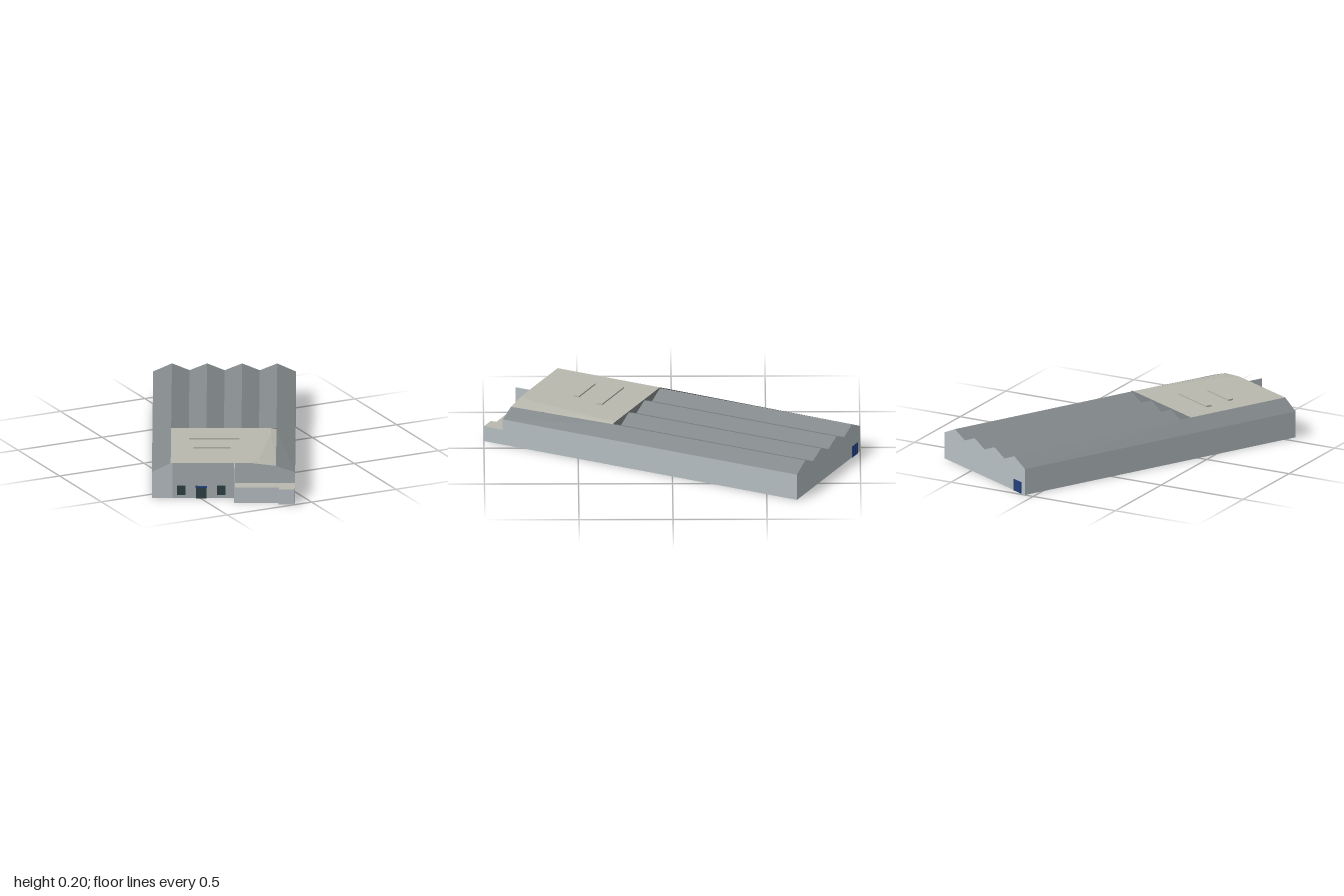
import * as THREE from 'three';

const mat = (color) => new THREE.MeshStandardMaterial({ color, side: THREE.DoubleSide, flatShading: true });

export function createModel() {
  const wall = mat(0xb8c0c4), facade = mat(0xa6adb0), roof = mat(0x82888a);
  const deck = mat(0xb8b8ae), glass = mat(0x2c4044), blue = mat(0x23407a);

  const W = 0.38, BACK = -0.872, MID = 0.266, FRONT = 0.872;
  const EAVE = 0.145, RIDGE = 0.19, TOP = 0.196, VALLEY = 0.152;

  const hall = new THREE.Group();
  hall.name = 'hall';

  function add(name, geometry, material, x = 0, y = 0, z = 0) {
    const mesh = new THREE.Mesh(geometry, material);
    mesh.name = name;
    mesh.position.set(x, y, z);
    hall.add(mesh);
    return mesh;
  }

  function box(name, material, x0, x1, y0, y1, z0, z1) {
    add(name, new THREE.BoxGeometry(x1 - x0, y1 - y0, z1 - z0), material,
      (x0 + x1) / 2, (y0 + y1) / 2, (z0 + z1) / 2);
  }

  // Flat panel from corner pairs, facing +z
  const flat = (points) =>
    new THREE.ShapeGeometry(new THREE.Shape(points.map(([x, y]) => new THREE.Vector2(x, y))));

  // Faceted sheet through rows of [x, y, z] points
  function sheet(name, material, rows) {
    const pos = [];
    for (let r = 0; r < rows.length - 1; r++) {
      for (let i = 0; i < rows[r].length - 1; i++) {
        const a = rows[r][i], b = rows[r][i + 1], c = rows[r + 1][i + 1], d = rows[r + 1][i];
        pos.push(...a, ...d, ...c, ...a, ...c, ...b);
      }
    }
    const geometry = new THREE.BufferGeometry();
    geometry.setAttribute('position', new THREE.Float32BufferAttribute(pos, 3));
    geometry.computeVertexNormals();
    add(name, geometry, material);
  }

  // Four-ridged roof with its end walls, which are symmetric and turned to face the back
  const zigzag = [];
  for (let i = 0; i < 7; i++) zigzag.push([-0.28 + i * 0.56 / 6, i % 2 ? VALLEY : RIDGE]);
  sheet('ridgedRoof', roof, [BACK, MID].map((z) => zigzag.map(([x, y]) => [x, y, z])));
  const backOutline = [[W, 0], [-W, 0], [-W, EAVE], ...zigzag, [W, EAVE]];
  add('backWall', flat(backOutline), wall, 0, 0, BACK).rotation.y = Math.PI;
  const gableOutline = [...zigzag, [0.28, TOP], [-0.28, TOP]];
  add('roofStepGable', flat(gableOutline), roof, 0, 0, MID).rotation.y = Math.PI;

  // Long walls and the sloping roof edges above them
  for (const [side, s, midY, frontY] of [['left', 1, RIDGE, 0.181], ['right', -1, TOP, TOP]]) {
    const outward = (row) => (s > 0 ? row : row.reverse());
    const wallRow = (z) => outward([[s * W, EAVE, z], [s * W, 0, z]]);
    const slopeRow = (y, z) => outward([[s * 0.28, y, z], [s * W, EAVE, z]]);
    sheet(side + 'Wall', wall, [wallRow(BACK), wallRow(FRONT)]);
    sheet(side + 'RoofSlope', roof, [slopeRow(RIDGE, BACK), slopeRow(midY, MID), slopeRow(frontY, FRONT)]);
  }

  // Flat front roof, easing down toward the left front corner
  const deckRow = (z, kinkX, edgeY) => [[-0.28, TOP, z], [kinkX, TOP, z], [0.28, edgeY, z]];
  sheet('frontRoof', deck, [
    deckRow(MID, 0.25, RIDGE),
    deckRow(0.366, 0.25, 0.189),
    deckRow(0.8, 0.19, 0.182),
    deckRow(FRONT, 0.15, 0.181),
  ]);
  box('rearRooflight', deck, -0.183, 0.083, 0.188, 0.204, 0.431, 0.463);
  box('frontRooflight', deck, -0.16, 0.036, 0.188, 0.204, 0.589, 0.618);

  // Front wall in two tones
  const corner = [[-W, 0], [-0.27, 0], [-0.27, TOP], [-0.28, TOP], [-W, EAVE]];
  add('frontWallCorner', flat(corner), wall, 0, 0, FRONT);
  const front = [[-0.27, 0], [W, 0], [W, EAVE], [0.28, 0.181], [0.15, TOP], [-0.27, TOP]];
  add('frontWall', flat(front), facade, 0, 0, FRONT);

  // Windows and doors, showing on both faces of the walls
  for (const x of [-0.246, -0.034]) {
    box('window', glass, x, x + 0.046, 0.018, 0.07, FRONT - 0.004, FRONT + 0.004);
  }
  box('frontDoor', glass, -0.145, -0.09, 0, 0.06, FRONT - 0.004, FRONT + 0.004);
  box('doorCanopy', blue, -0.147, -0.088, 0.06, 0.069, FRONT - 0.004, FRONT + 0.01);
  for (let i = 0; i < 3; i++) {
    const x = -0.346 + i * 0.023;
    box('backDoorLeaf', blue, x, x + 0.02, 0, 0.063, BACK - 0.004, BACK + 0.004);
  }

  // Low annex, open underneath, with a stepped front and a tall fin
  const H = 0.085;
  const plan = [[0.06, FRONT], [0.06, 0.952], [0.295, 0.952], [0.295, 0.984], [W, 0.984], [W, FRONT]];
  sheet('annexWalls', wall, [H, 0].map((y) => plan.map(([x, z]) => [x, y, z])));
  add('annexRoof', flat(plan.map(([x, z]) => [x, -z])), deck, 0, H, 0).rotation.x = -Math.PI / 2;
  box('finWall', wall, 0.056, 0.062, 0, TOP, FRONT, 0.952);

  // Whole building stands turned on its site
  hall.rotation.y = -0.4636;
  hall.position.z = -0.05;
  const model = new THREE.Group();
  model.name = 'factoryHall';
  model.add(hall);
  return model;
}
